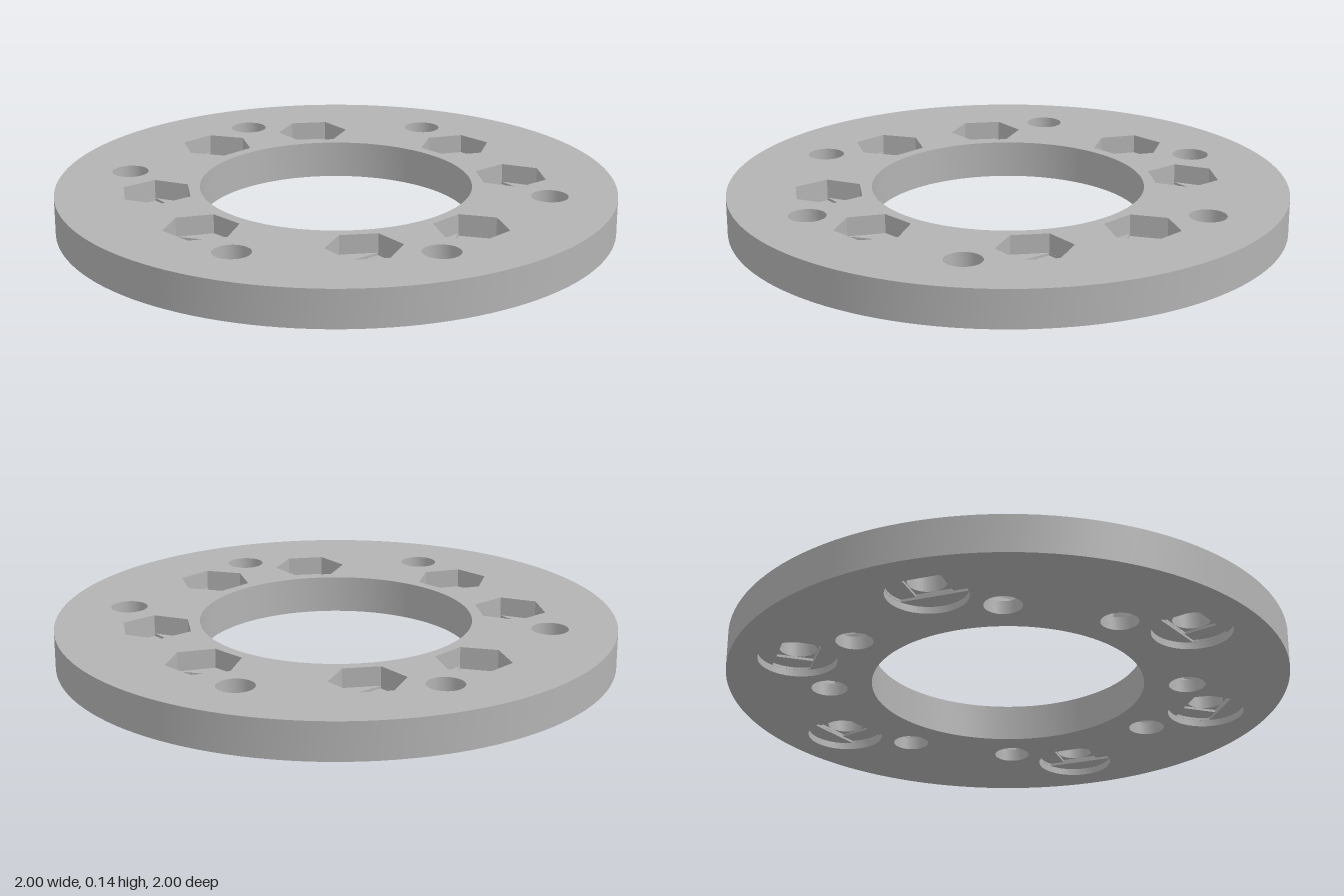
import * as THREE from 'three';
import { mergeGeometries } from 'three/addons/utils/BufferGeometryUtils.js';

const H = 0.135;          // plate thickness
const TAU = Math.PI * 2;
const rad = THREE.MathUtils.degToRad;
const material = new THREE.MeshStandardMaterial({ color: 0xb3b3b3 });
material.name = 'plain grey';

// Contours are drawn in a plan plane (x right, y towards the back), counter-clockwise.
function circle(r, n = 32) {
  return Array.from({ length: n }, (_, i) =>
    new THREE.Vector2(r * Math.cos(i / n * TAU), r * Math.sin(i / n * TAU)));
}
function rect(a, b) {
  return [[a, -b], [a, b], [-a, b], [-a, -b]].map(([x, y]) => new THREE.Vector2(x, y));
}
// Straight-sided slot with ends following a circle of radius r
function roundEndedSlot(r, w) {
  const a = Math.asin(w / r), pts = [];
  for (const start of [0, Math.PI])
    for (let i = -4; i <= 4; i++) {
      const t = start + a * i / 4;
      pts.push(new THREE.Vector2(r * Math.cos(t), r * Math.sin(t)));
    }
  return pts;
}
function place(pts, cx, cy, turn) {
  const o = new THREE.Vector2();
  return pts.map(p => p.clone().rotateAround(o, turn).add(new THREE.Vector2(cx, cy)));
}

// Vertical wall along a closed contour
function wall(pts, y0, y1, { inward = true, smooth = false } = {}) {
  const lo = Math.min(y0, y1), hi = Math.max(y0, y1), n = pts.length;
  const pos = [], idx = [];
  pts.forEach(p => pos.push(p.x, lo, -p.y, p.x, hi, -p.y));
  for (let i = 0; i < n; i++) {
    const a = 2 * i, b = 2 * ((i + 1) % n);
    if (inward) idx.push(a, b + 1, b, a, a + 1, b + 1);
    else idx.push(a, b, b + 1, a, b + 1, a + 1);
  }
  let g = new THREE.BufferGeometry();
  g.setAttribute('position', new THREE.Float32BufferAttribute(pos, 3));
  g.setIndex(idx);
  if (smooth) g.computeVertexNormals();
  g = g.toNonIndexed();
  if (!smooth) g.computeVertexNormals();
  return g;
}

// Horizontal face with holes
function face(outline, holes, y, up) {
  const shape = new THREE.Shape(outline);
  shape.holes = holes.map(h => new THREE.Path(h));
  const g = new THREE.ShapeGeometry(shape);
  if (!up) {
    g.index.array.reverse();
    const nor = g.attributes.normal;
    for (let i = 0; i < nor.count; i++) nor.setZ(i, -1);
  }
  g.rotateX(-Math.PI / 2).translate(0, y, 0);
  g.deleteAttribute('uv');
  return g.toNonIndexed();
}

// Stepped bore: contours narrowing from one face of the plate to the other
function steppedBore(contours, levels, up, smoothFlags) {
  const parts = [];
  contours.forEach((c, i) => {
    parts.push(wall(c, levels[i], levels[i + 1], { smooth: smoothFlags[i] }));
    if (i + 1 < contours.length) parts.push(face(c, [contours[i + 1]], levels[i + 1], up));
  });
  return mergeGeometries(parts);
}

export function createModel() {
  const group = new THREE.Group();
  group.name = 'mountingRing';
  const add = (name, geometry) => {
    const m = new THREE.Mesh(geometry, material);
    m.name = name;
    group.add(m);
  };

  const outer = circle(1, 128), inner = circle(0.486, 128);
  const topHoles = [inner], bottomHoles = [inner];

  // Eight nut pockets, open at the top, with bridging steps down to the bolt hole
  const w = 0.066, hexR = 0.132, flat = hexR * Math.cos(Math.PI / 6);
  const nutAngle = THREE.MathUtils.radToDeg(Math.atan2(1, 2));
  for (let q = 0; q < 4; q++) {
    for (const base of [nutAngle, 90 - nutAngle]) {
      const phi = rad(base + 90 * q);
      const at = (pts, turn) => place(pts, 0.64 * Math.cos(phi), 0.64 * Math.sin(phi), turn);
      const slotTurn = phi - Math.PI / 3;
      const contours = [
        at(circle(hexR, 6), phi + Math.PI / 6),
        at(rect(flat * 0.995, w * 0.995), slotTurn),
        at(rect(w * 0.99, w * 0.99), slotTurn),
        at(circle(w * 0.985), 0),
      ];
      add('nutPocket', steppedBore(contours, [H, 0.066, 0.057, 0.048, 0], true,
        [false, false, false, true]));
      topHoles.push(contours[0]);
      bottomHoles.push(contours[3]);
    }
  }

  // Six screw holes, counterbored from below with the same kind of steps
  for (const deg of [82.1, 135, 187.9, 262.1, 315, 367.9]) {
    const phi = rad(deg);
    const at = (pts, turn) => place(pts, 0.763 * Math.cos(phi), 0.763 * Math.sin(phi), turn);
    const slotTurn = phi + Math.PI / 2;
    const contours = [
      at(circle(0.139, 36), 0),
      at(roundEndedSlot(0.138, 0.067), slotTurn),
      at(rect(0.0665, 0.0665), slotTurn),
      at(circle(0.066), 0),
    ];
    add('screwHole', steppedBore(contours, [0, 0.025, 0.034, 0.043, H], false,
      [true, false, false, true]));
    bottomHoles.push(contours[0]);
    topHoles.push(contours[3]);
  }

  // Ring body
  add('topFace', face(outer, topHoles, H, true));
  add('bottomFace', face(outer, bottomHoles, 0, false));
  add('outerRim', wall(outer, 0, H, { inward: false, smooth: true }));
  add('innerRim', wall(inner, 0, H, { smooth: true }));
  return group;
}
